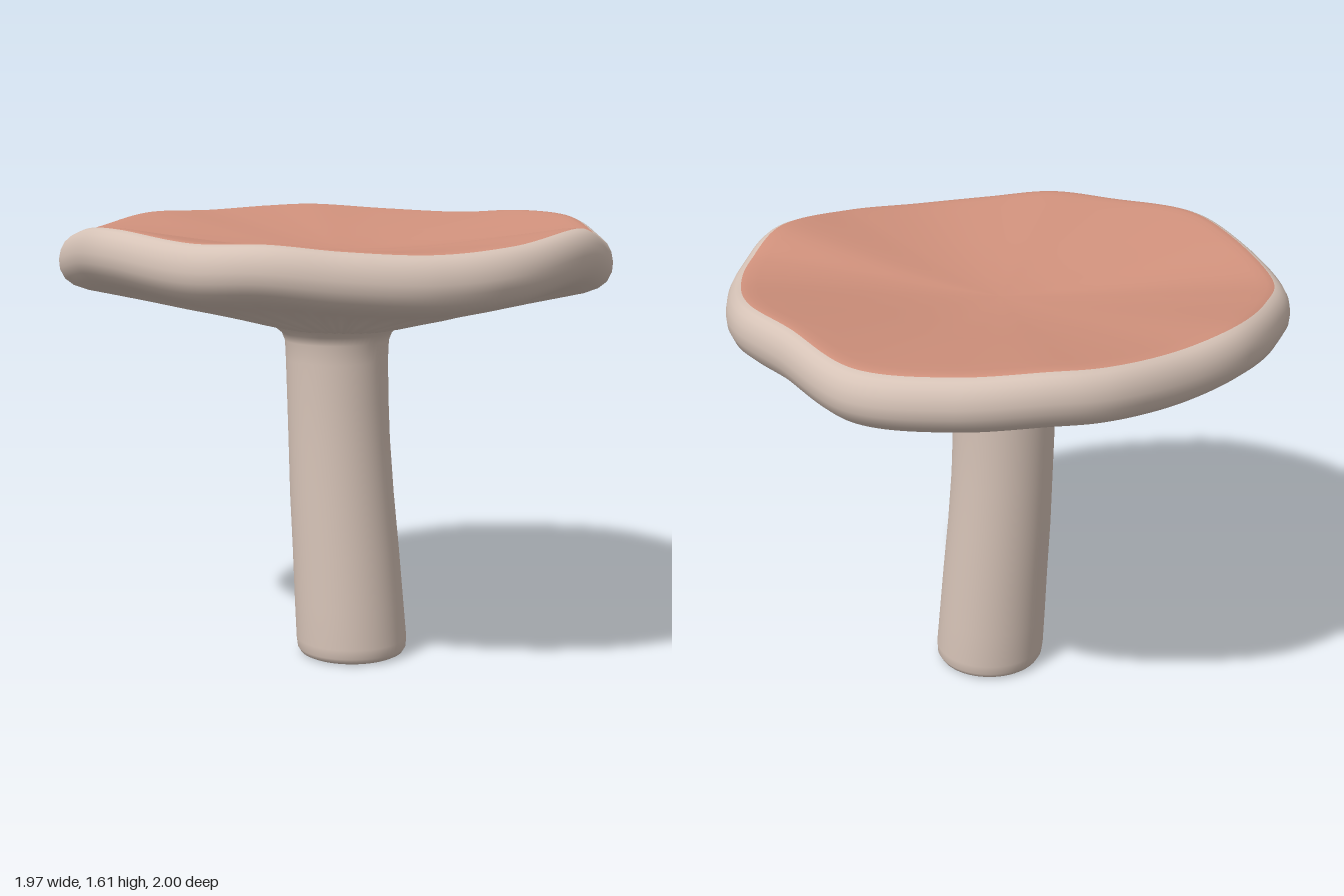
import * as THREE from 'three';

// Closed smooth surface from rings: point(ring, segment) gives each vertex.
// Rings run from the top centre, outward and down to the bottom centre.
function loft(rings, segments, point) {
  const positions = [], indices = [];
  for (let i = 0; i < rings; i++)
    for (let j = 0; j < segments; j++) positions.push(...point(i, j));
  for (let i = 0; i < rings - 1; i++) {
    for (let j = 0; j < segments; j++) {
      const k = (j + 1) % segments;
      const a = i * segments + j, b = a + segments;
      const c = (i + 1) * segments + k, d = i * segments + k;
      indices.push(a, c, b, a, d, c);
    }
  }
  const geometry = new THREE.BufferGeometry();
  geometry.setAttribute('position', new THREE.Float32BufferAttribute(positions, 3));
  geometry.setIndex(indices);
  geometry.computeVertexNormals();
  return geometry;
}

export function createModel() {
  const group = new THREE.Group();
  const flesh = new THREE.MeshStandardMaterial({ color: 0xd6c3b7 });
  flesh.name = 'pale flesh';
  const skin = new THREE.MeshStandardMaterial({ color: 0xd0917c });
  skin.name = 'pink skin';

  // Wavy rim: x, height offset, z
  const rim = new THREE.CatmullRomCurve3([
    [0.98, 0.03, -0.08], [0.94, -0.01, 0.32], [0.79, -0.03, 0.58], [0.56, -0.015, 0.79],
    [0.34, 0.01, 0.93], [0.08, 0.005, 0.995], [-0.29, 0.035, 0.95], [-0.56, 0.02, 0.8],
    [-0.85, -0.035, 0.57], [-0.94, -0.02, 0.32], [-0.985, 0.015, -0.03], [-0.91, 0.01, -0.33],
    [-0.79, 0.02, -0.59], [-0.66, 0.025, -0.73], [-0.4, 0.005, -0.9], [-0.07, -0.005, -1],
    [0.29, 0.025, -0.89], [0.56, 0.02, -0.78], [0.82, -0.025, -0.51], [0.92, -0.02, -0.33],
  ].map(p => new THREE.Vector3(...p)), true);

  // Cap section: fraction of rim radius, height
  const topProfile = [[0, 1.5], [0.1, 1.502], [0.2, 1.507], [0.35, 1.52], [0.5, 1.538],
    [0.65, 1.556], [0.8, 1.573], [0.88, 1.582], [0.915, 1.584], [0.94, 1.582]];
  const lowerProfile = [[0.96, 1.573], [0.978, 1.557], [0.993, 1.53], [1, 1.495], [0.997, 1.46],
    [0.98, 1.425], [0.95, 1.4], [0.9, 1.38], [0.82, 1.362], [0.7, 1.335], [0.55, 1.298],
    [0.42, 1.267], [0.32, 1.241], [0.24, 1.222], [0.15, 1.215], [0, 1.21]];
  const profile = [...topProfile, ...lowerProfile];
  const segments = 288, gills = 48;
  const edge = Array.from({ length: segments }, (_, j) => rim.getPointAt(j / segments));

  const capGeometry = loft(profile.length, segments, (i, j) => {
    const [s, h] = profile[i];
    const e = edge[j];
    let y = h + e.y * s * s;
    // Radial gill ridges on the underside
    if (i >= topProfile.length && s > 0.2 && s < 0.92) {
      const fade = Math.sin(Math.PI * (s - 0.2) / 0.72);
      y += 0.008 * fade * Math.sin(2 * Math.PI * gills * j / segments);
    }
    return [e.x * s, y, e.z * s];
  });
  const skinCount = (topProfile.length - 1) * segments * 6;
  capGeometry.addGroup(0, skinCount, 0);
  capGeometry.addGroup(skinCount, capGeometry.index.count - skinCount, 1);
  const cap = new THREE.Mesh(capGeometry, [skin, flesh]);
  cap.name = 'cap';
  group.add(cap);

  // Leaning stem: centre x, y, centre z, radius
  const stemRings = [[-0.012, 1.25, 0.012, 0.26], [-0.012, 1.222, 0.012, 0.23],
    [-0.012, 1.2, 0.012, 0.202], [-0.012, 1.17, 0.012, 0.19], [-0.012, 1.1, 0.012, 0.187],
    [-0.008, 0.95, 0.012, 0.186], [-0.002, 0.8, 0.012, 0.187], [0.01, 0.6, 0.012, 0.192],
    [0.027, 0.4, 0.012, 0.197], [0.042, 0.2, 0.012, 0.202], [0.053, 0.06, 0.012, 0.205],
    [0.055, 0.025, 0.012, 0.202], [0.055, 0.008, 0.012, 0.192], [0.055, 0.001, 0.012, 0.178],
    [0.055, 0, 0.012, 0.165], [0.055, 0, 0.012, 0]];
  const stem = new THREE.Mesh(loft(stemRings.length, 64, (i, j) => {
    const [x, y, z, r] = stemRings[i];
    const a = 2 * Math.PI * j / 64;
    return [x + r * Math.cos(a), y, z + r * Math.sin(a)];
  }), flesh);
  stem.name = 'stem';
  group.add(stem);

  return group;
}
